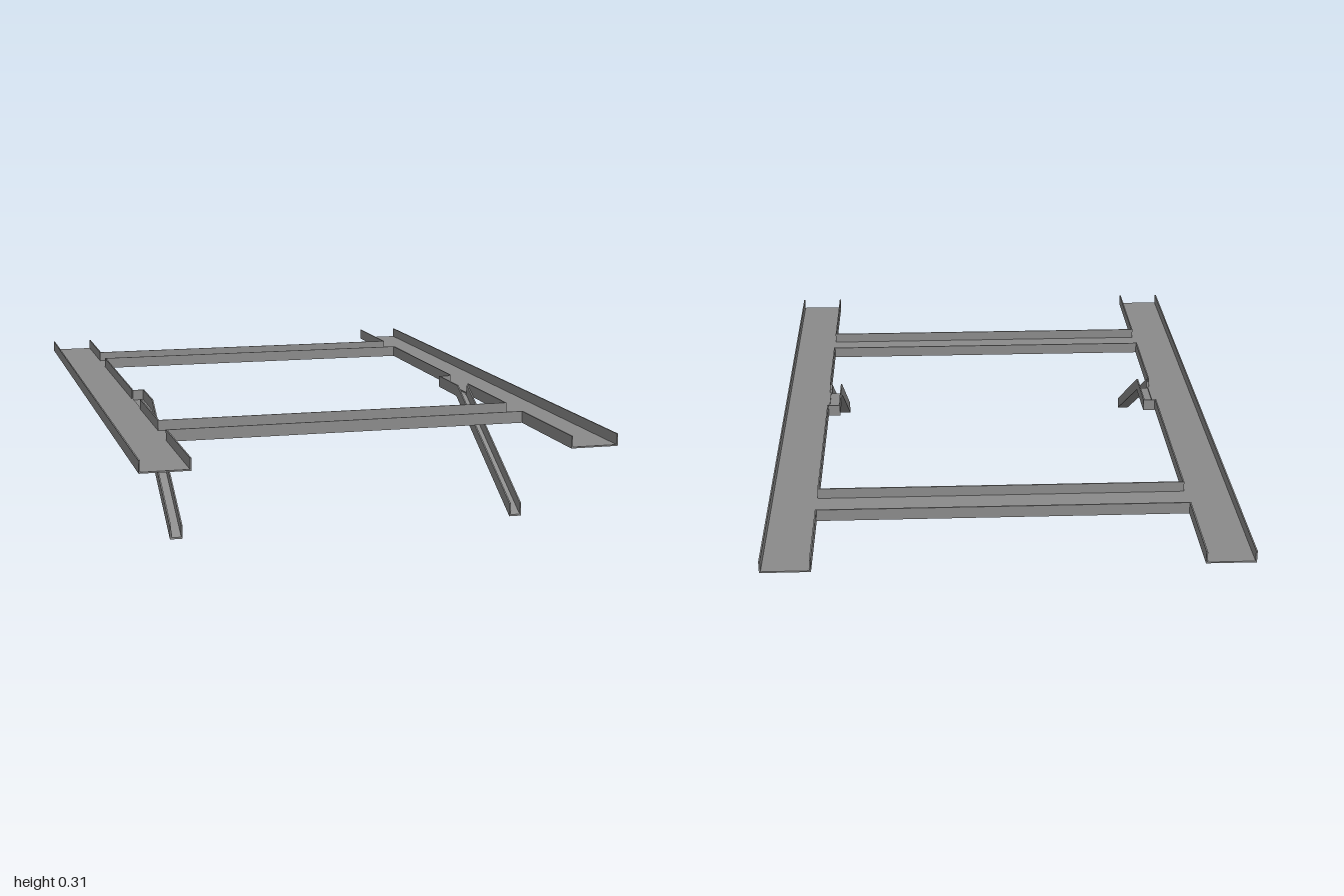
import * as THREE from 'three';

const T = 0.004;            // sheet thickness
const FLOOR = 0.276, TOP = 0.31;
const OUT = 0.658, IN = 0.522, TAB = 0.486;
const BARS = [[-0.712, -0.577], [0.51, 0.647]];

export function createModel() {
  const model = new THREE.Group();
  const steel = new THREE.MeshStandardMaterial({ color: 0x8a8a8a });
  steel.name = 'grey steel';

  const add = (parent, name, geometry) => {
    const mesh = new THREE.Mesh(geometry, steel);
    mesh.name = name;
    parent.add(mesh);
  };

  // Box given by its extents
  const box = (parent, name, x0, x1, y0, y1, z0, z1) => {
    const g = new THREE.BoxGeometry(Math.abs(x1 - x0), y1 - y0, z1 - z0);
    g.translate((x0 + x1) / 2, (y0 + y1) / 2, (z0 + z1) / 2);
    add(parent, name, g);
  };

  // Side profile of [z, y] points, extruded from x0 to x1
  const plate = (parent, name, points, x0, x1) => {
    const shape = new THREE.Shape(points.map(([z, y]) => new THREE.Vector2(-z, y)));
    const g = new THREE.ExtrudeGeometry(shape, { depth: x1 - x0, bevelEnabled: false });
    g.rotateY(Math.PI / 2);
    g.translate(x0, 0, 0);
    add(parent, name, g);
  };

  for (const s of [1, -1]) {
    const side = s > 0 ? 'left' : 'right';

    // Long channel rail with outer and interrupted inner flanges
    const rail = new THREE.Group();
    rail.name = side + 'Rail';
    box(rail, 'railFloor', s * IN, s * OUT, FLOOR, FLOOR + T, -1, 1);
    box(rail, 'outerFlange', s * (OUT - T), s * OUT, FLOOR, TOP, -1, 1);
    const spans = [[-1, BARS[0][0]], [BARS[0][1], 0.02], [0.19, BARS[1][0]], [BARS[1][1], 1]];
    for (const [z0, z1] of spans) {
      box(rail, 'innerFlange', s * IN, s * (IN + T), FLOOR, TOP, z0, z1);
    }
    model.add(rail);

    // Bent strut: flat tab beside the rail, then a channel sloping to the ground
    const strut = new THREE.Group();
    strut.name = side + 'Strut';
    const [a, b] = s > 0 ? [TAB, IN] : [-IN, -TAB];
    plate(strut, 'strutFloor', [
      [0.02, 0.272], [0.188, 0.272], [0.66, 0], [0.66, 0.005], [0.189, 0.276], [0.02, 0.276],
    ], a, b);
    const innerX = s > 0 ? a : b - T;
    plate(strut, 'strutInnerWall', [
      [0.02, 0.272], [0.188, 0.272], [0.66, 0], [0.66, 0.038], [0.195, 0.307], [0.02, 0.307],
    ], innerX, innerX + T);
    const outerX = s > 0 ? b - T : a;
    plate(strut, 'strutOuterWall', [
      [0.188, 0.272], [0.66, 0], [0.66, 0.038], [0.195, 0.307],
    ], outerX, outerX + T);
    box(strut, 'tabEndWall', a, b, 0.272, 0.307, 0.02, 0.02 + T);
    model.add(strut);
  }

  // Channel cross members joining the rails
  BARS.forEach(([z0, z1], i) => {
    const bar = new THREE.Group();
    bar.name = i ? 'frontCrossMember' : 'rearCrossMember';
    box(bar, 'barFloor', -IN, IN, FLOOR, FLOOR + T, z0, z1);
    box(bar, 'barRearFlange', -IN - T, IN + T, FLOOR, TOP, z0, z0 + T);
    box(bar, 'barFrontFlange', -IN - T, IN + T, FLOOR, TOP, z1 - T, z1);
    model.add(bar);
  });

  return model;
}
